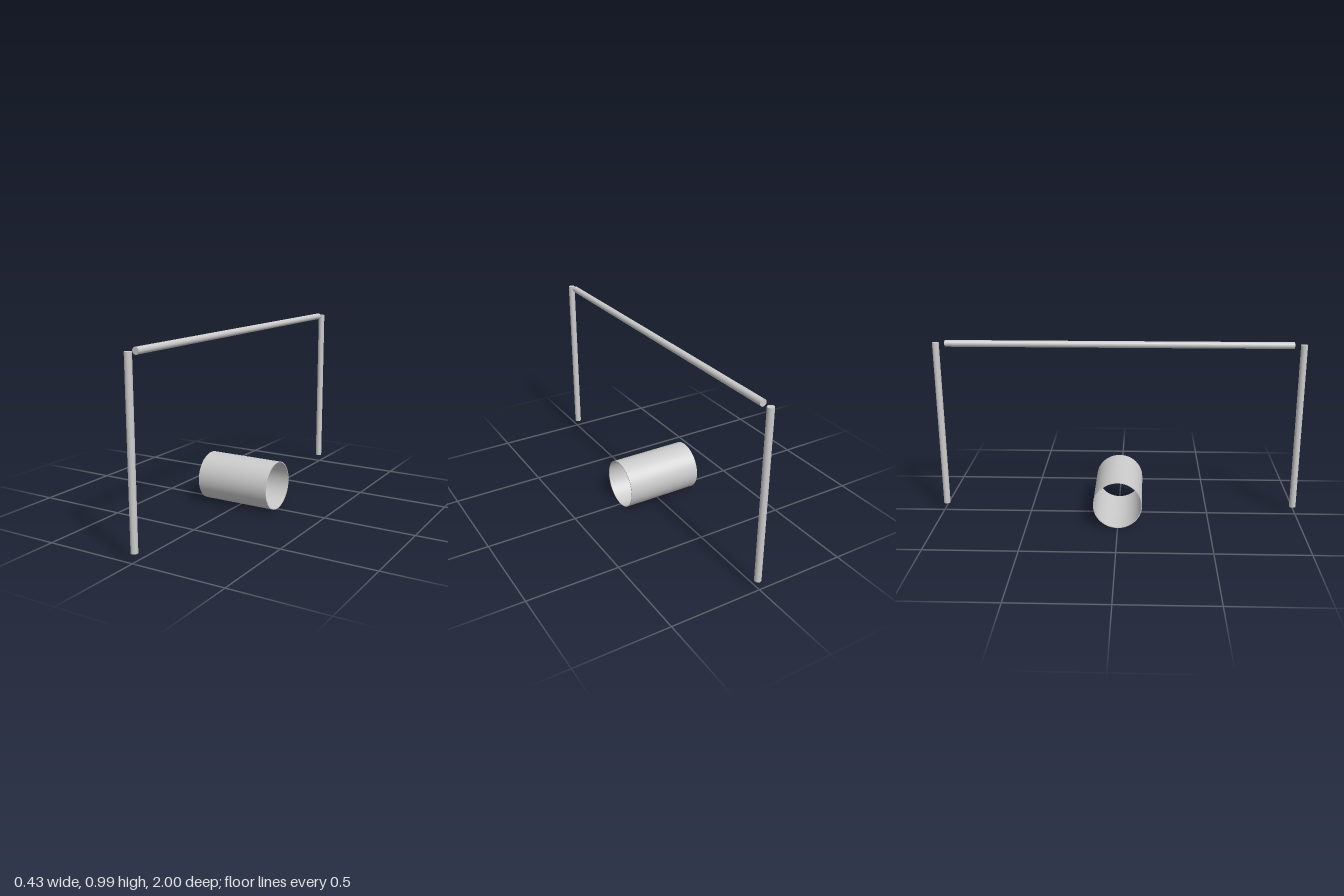
import * as THREE from 'three';

export function createModel() {
  const group = new THREE.Group();
  const material = new THREE.MeshStandardMaterial({ color: 0xcccccc });
  const rodRadius = 0.018;

  const addRod = (name, length, parent = group) => {
    const rod = new THREE.Mesh(new THREE.CylinderGeometry(rodRadius, rodRadius, length, 24), material);
    rod.name = name;
    parent.add(rod);
    return rod;
  };

  // Upright posts at the front and back
  for (const [name, side] of [['frontPost', 1], ['backPost', -1]]) {
    addRod(name, 0.93).position.set(0, 0.511, side * 0.982);
  }

  // Horizontal bar, stopping short of both posts
  const bar = addRod('crossbar', 1.86);
  bar.rotation.x = Math.PI / 2;
  bar.position.y = 0.972;

  // Thin-walled open drum lying along x; repeated points keep the rims sharp
  const outer = 0.133, inner = 0.129, half = 0.214;
  const corners = [[inner, half], [inner, -half], [outer, -half], [outer, half]];
  const drum = new THREE.Group();
  drum.name = 'openDrum';
  const wallNames = ['innerWall', 'rightRim', 'outerWall', 'leftRim'];
  corners.forEach((a, i) => {
    const b = corners[(i + 1) % 4];
    const wall = new THREE.Mesh(
      new THREE.LatheGeometry([new THREE.Vector2(...a), new THREE.Vector2(...b)], 64), material);
    wall.name = wallNames[i];
    drum.add(wall);
  });
  drum.rotation.z = -Math.PI / 2;
  drum.position.y = outer;
  group.add(drum);

  return group;
}
